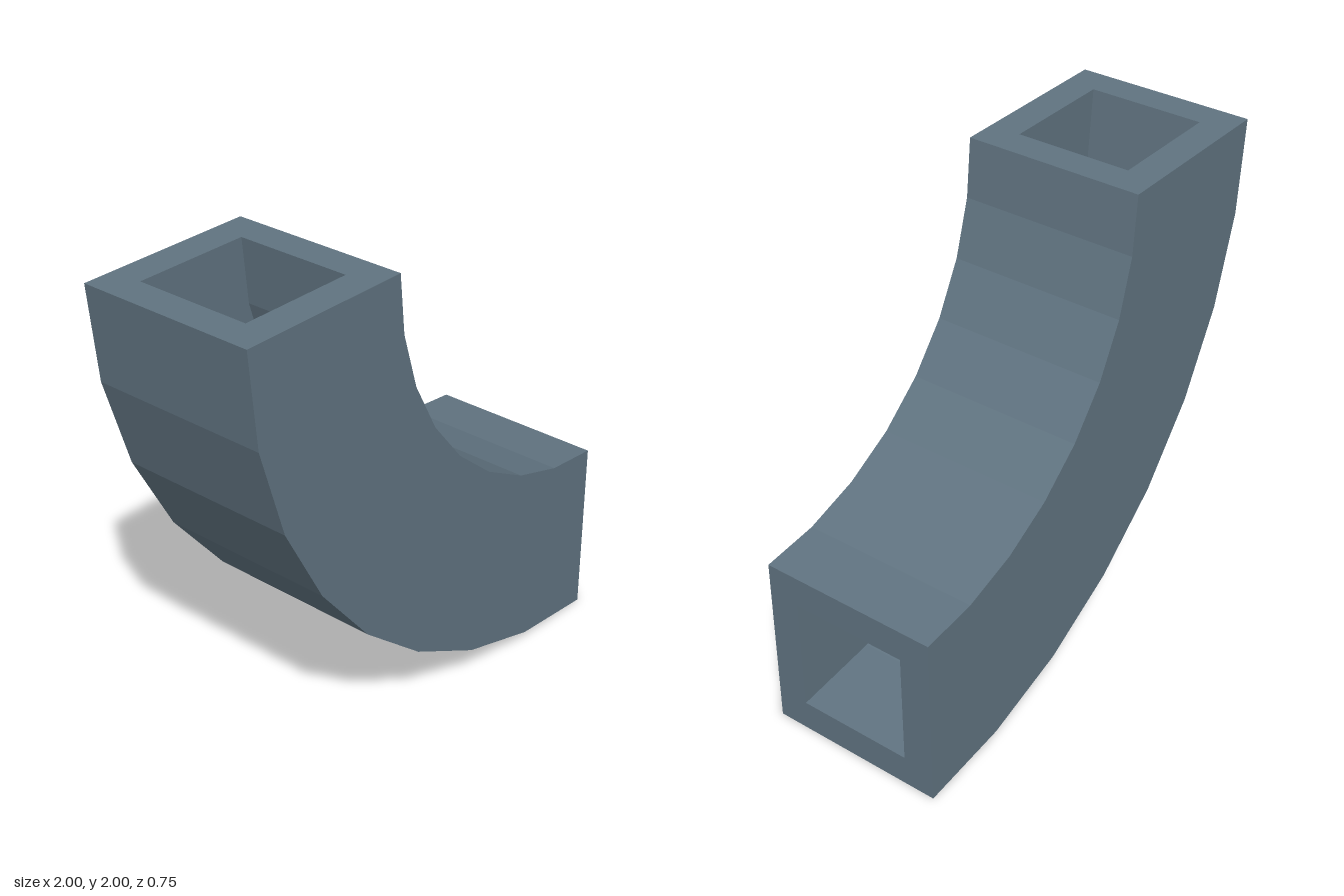
import * as THREE from 'three';

const OUTER = 0.3775; // half width of the duct
const INNER = 0.245; // half width of the opening
const RADIUS = 2 - OUTER; // bend radius of the centre line
const SEGMENTS = 8;

// Corners of a square, counter-clockwise
const square = (h) => [[h, -h], [h, h], [-h, h], [-h, -h]].map(([x, y]) => new THREE.Vector2(x, y));

export function createModel() {
  const group = new THREE.Group();
  group.name = 'squareDuctElbow';
  const steel = new THREE.MeshStandardMaterial({ color: 0x607380, flatShading: true });
  steel.name = 'blue grey steel';

  const add = (name, geometry, x, y) => {
    const mesh = new THREE.Mesh(geometry, steel);
    mesh.name = name;
    mesh.position.set(x, y, 0);
    group.add(mesh);
  };

  // Quarter-turn walls: a closed square profile swept about the bend centre
  const bend = (half, inward) => {
    const loop = square(half).map((p) => new THREE.Vector2(p.x + RADIUS, p.y));
    loop.push(loop[0].clone());
    if (inward) loop.reverse();
    return new THREE.LatheGeometry(loop, SEGMENTS, -Math.PI / 2, Math.PI / 2).rotateX(Math.PI / 2);
  };
  add('outerWalls', bend(OUTER, false), 1, 2);
  add('innerWalls', bend(INNER, true), 1, 2);

  // Square rims closing the wall thickness at both ends
  const rim = () => {
    const shape = new THREE.Shape(square(OUTER));
    shape.holes.push(new THREE.Path(square(INNER)));
    return new THREE.ShapeGeometry(shape);
  };
  add('topRim', rim().rotateX(-Math.PI / 2), 1 - RADIUS, 2);
  add('sideRim', rim().rotateY(Math.PI / 2), 1, 2 - RADIUS);

  return group;
}
